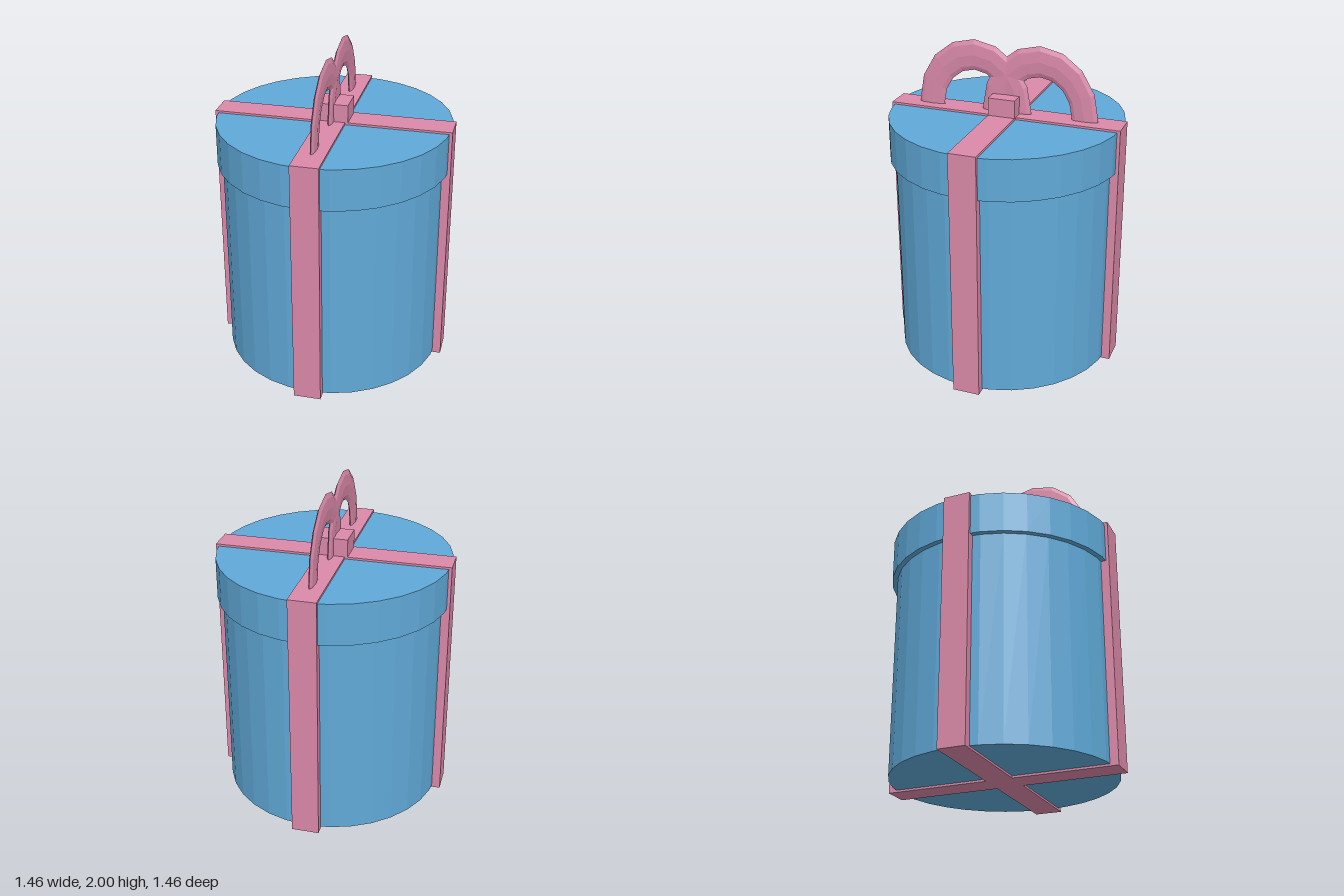
import * as THREE from 'three';

export function createModel() {
  const model = new THREE.Group();
  model.name = 'giftBox';
  model.rotation.y = THREE.MathUtils.degToRad(10);

  const paper = new THREE.MeshStandardMaterial({ color: 0x60a9d8, flatShading: true });
  paper.name = 'blue paper';
  const satin = new THREE.MeshStandardMaterial({ color: 0xda89a8, flatShading: true });
  satin.name = 'pink ribbon';

  const add = (name, geometry, material, x, y, z) => {
    const mesh = new THREE.Mesh(geometry, material);
    mesh.name = name;
    mesh.position.set(x, y, z);
    model.add(mesh);
    return mesh;
  };
  const drum = (name, radius, y0, y1) =>
    add(name, new THREE.CylinderGeometry(radius, radius, y1 - y0, 32), paper, 0, (y0 + y1) / 2, 0);

  // Round box and its wider lid
  drum('body', 0.685, 0.013, 1.305);
  drum('lid', 0.717, 1.3, 1.557);

  // Two crossing ribbons wrapped around the whole box
  const length = 1.457, width = 0.168, height = 1.57;
  add('ribbonAcross', new THREE.BoxGeometry(length, height, width), satin, 0, height / 2, 0);
  add('ribbonFrontToBack', new THREE.BoxGeometry(width, height, length), satin, 0, height / 2, 0);

  // Knot
  add('knot', new THREE.BoxGeometry(0.204, 0.13, width), satin, 0, 1.615, 0);

  // Flat bow loops standing along the front-to-back ribbon, lower halves sunk in the box
  for (const side of [1, -1]) {
    const geometry = new THREE.TorusGeometry(0.282, 0.082, 8, 16);
    geometry.scale(1, 1.154, 0.2);
    geometry.rotateY(Math.PI / 2);
    add(side > 0 ? 'frontBowLoop' : 'backBowLoop', geometry, satin, 0, 1.58, side * 0.208);
  }

  const root = new THREE.Group();
  root.name = 'gift';
  root.add(model);
  return root;
}
